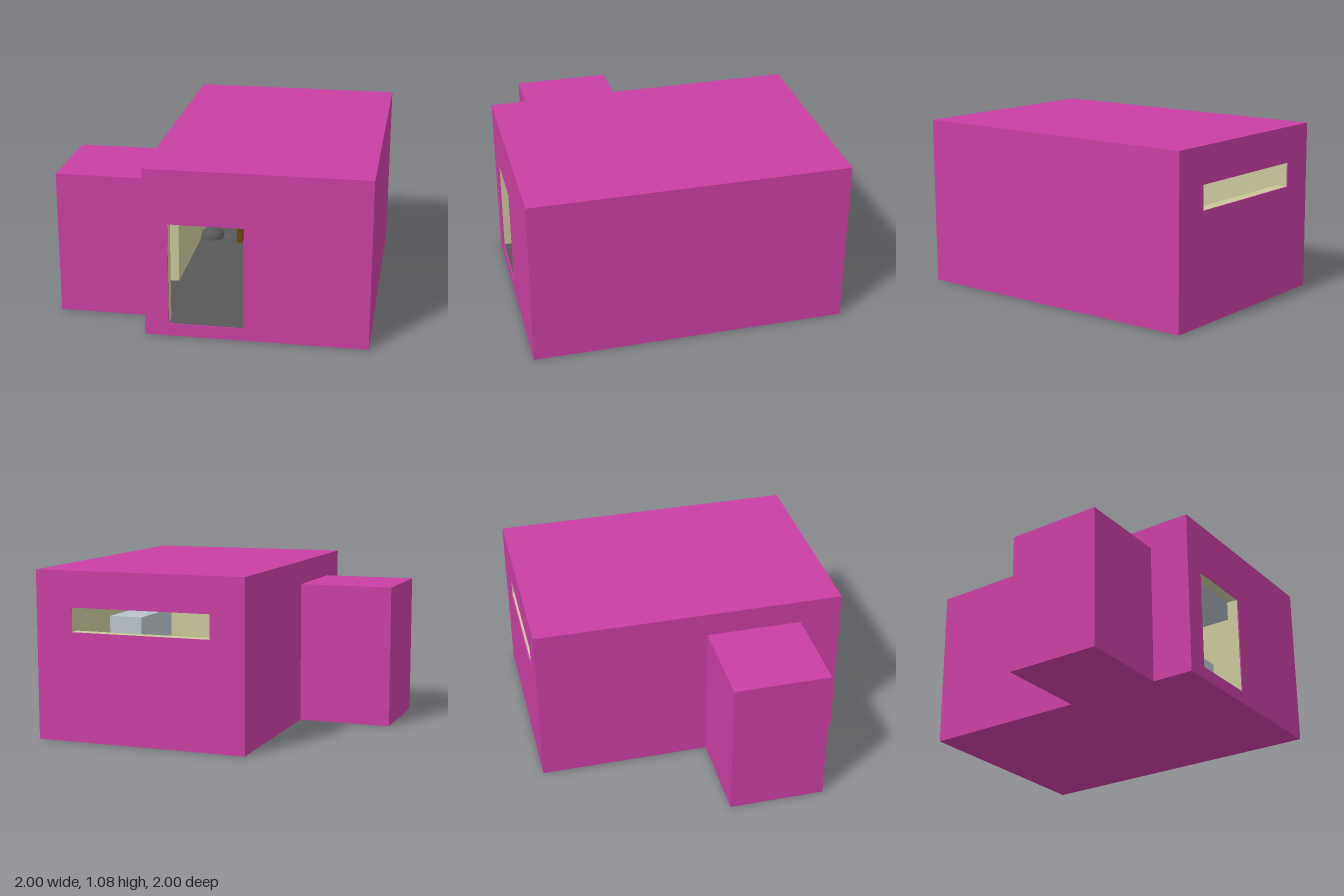
import * as THREE from 'three';

const mat = (name, color, side = THREE.FrontSide) => {
  const m = new THREE.MeshStandardMaterial({ color, side });
  m.name = name;
  return m;
};

export function createModel() {
  const model = new THREE.Group();
  model.name = 'house';
  const magenta = mat('magenta', 0xc93fa2);
  const beige = mat('beige', 0xc9c79a);
  const grey = mat('floor grey', 0x585858);
  const blue = mat('pale blue grey', 0xb8c3c8);
  const brown = mat('wood brown', 0x70450e);
  const SKIN = 0.008, WALL = 0.08;

  const add = (name, geo, material, x = 0, y = 0, z = 0) => {
    const mesh = new THREE.Mesh(geo, material);
    mesh.name = name;
    mesh.position.set(x, y, z);
    model.add(mesh);
    return mesh;
  };

  // box given by its lower and upper corners
  const block = (name, m, x0, x1, y0, y1, z0, z1) =>
    add(name, new THREE.BoxGeometry(x1 - x0, y1 - y0, z1 - z0), m,
      (x0 + x1) / 2, (y0 + y1) / 2, (z0 + z1) / 2);

  // upright plate whose outer face passes through (x, z); hole = [u0, u1, y0, y1]
  function plate(name, m, width, y0, y1, hole, inset, depth, x, z, turn) {
    const w = width / 2;
    const shape = new THREE.Shape();
    shape.moveTo(-w, y0).lineTo(w, y0).lineTo(w, y1).lineTo(-w, y1).closePath();
    if (hole) {
      const [a, b, c, d] = hole;
      const path = new THREE.Path();
      path.moveTo(a, c).lineTo(a, d).lineTo(b, d).lineTo(b, c).closePath();
      shape.holes.push(path);
    }
    const geo = new THREE.ExtrudeGeometry(shape, { depth, bevelEnabled: false });
    geo.translate(0, 0, -inset - depth);
    add(name, geo, m, x, 0, z).rotation.y = turn;
  }

  // painted outer skin with a thick inner lining behind it
  function wall(name, lining, width, height, hole, x, z, turn) {
    plate(name + 'Skin', magenta, width, 0, height, hole, 0, SKIN, x, z, turn);
    plate(name + 'Lining', lining, width - 2 * SKIN, SKIN, height - SKIN, hole,
      SKIN, WALL - SKIN, x, z, turn);
  }

  // floor and ceiling slabs, painted on the outside
  function slabs(name, x0, x1, z0, z1, height) {
    const s = SKIN;
    block(name + 'Base', magenta, x0, x1, 0, s, z0, z1);
    block(name + 'Floor', grey, x0 + s, x1 - s, s, 0.081, z0 + s, z1 - s);
    block(name + 'Ceiling', blue, x0 + s, x1 - s, height - WALL, height - s, z0 + s, z1 - s);
    block(name + 'Roof', magenta, x0, x1, height - s, height, z0, z1);
  }

  // main room: doorway in front, long window behind, side opening to the annex
  const L = -0.385, H = 1.08, mid = (1 + L) / 2, W = 1 - L;
  const opening = [0.34, 0.62, 0.08, 0.72];
  slabs('room', L, 1, -1, 1, H);
  wall('frontWall', beige, W, H, [-0.235 - mid, 0.23 - mid, 0.08, 0.735], mid, 1, 0);
  wall('backWall', beige, W, H, [mid - 0.763, mid + 0.16, 0.695, 0.85], mid, -1, Math.PI);
  wall('leftSideWall', beige, 2, H, null, 1, 0, Math.PI / 2);
  wall('rightSideWall', beige, 2, H, opening, L, 0, -Math.PI / 2);

  // annex
  const A = 0.925, az0 = 0.11, az1 = 0.73, aw = L + 1, ax = (L - 1) / 2, az = (az0 + az1) / 2;
  slabs('annex', -1, L + SKIN, az0, az1, A);
  wall('annexFront', blue, aw, A, null, ax, az1, 0);
  wall('annexBack', blue, aw, A, null, ax, az0, Math.PI);
  wall('annexSide', blue, az1 - az0, A, null, -1, az, -Math.PI / 2);
  plate('annexInnerWall', blue, az1 - az0 - 0.04, 0.02, A - 0.02,
    [opening[0] - az, opening[1] - az, 0.08, 0.72], 0.001, SKIN, L - 0.01, az, -Math.PI / 2);

  // tall cabinet against the side wall
  block('cabinet', blue, 0.683, 0.92, 0.08, 0.68, -0.12, 0.4);

  // counter along the back wall and the low table in front of it
  block('counter', brown, -0.305, 0.92, 0.31, 0.345, -0.92, -0.64);
  block('tableTop', brown, -0.035, 0.19, 0.195, 0.23, -0.62, -0.4);
  for (const x of [-0.035, 0.155]) block('tableLeg', brown, x, x + 0.035, 0.08, 0.195, -0.62, -0.4);

  // soft items on and above the counter, cut as silhouettes
  function cutout(name, m, points, z, depth = 0.06) {
    const shape = new THREE.Shape(points.map(([x, y]) => new THREE.Vector2(x, y)));
    add(name, new THREE.ExtrudeGeometry(shape, { depth, bevelEnabled: false }), m, 0, 0, z);
  }
  cutout('paleBush', blue, [[-0.08, 0.345], [0.02, 0.345], [0.07, 0.42], [0.07, 0.47], [0.03, 0.48],
    [0, 0.51], [-0.03, 0.48], [-0.06, 0.51], [-0.09, 0.48], [-0.13, 0.5], [-0.155, 0.45], [-0.14, 0.39]], -0.86);
  cutout('woodPile', brown, [[0, 0.345], [0.15, 0.345], [0.15, 0.42], [0.12, 0.42], [0.1, 0.46],
    [0.08, 0.42], [0.04, 0.42], [0.04, 0.385], [0, 0.38]], -0.78);
  cutout('pinkCushion', magenta, [[0.07, 0.47], [0.1, 0.46], [0.12, 0.42], [0.18, 0.42], [0.2, 0.46],
    [0.26, 0.46], [0.26, 0.5], [0.2, 0.5], [0.18, 0.54], [0.13, 0.54], [0.11, 0.5], [0.07, 0.49]], -0.7);

  // wooden cross-shaped wall ornament
  const cross = [];
  for (let i = 0; i < 4; i++) {
    const c = Math.cos(i * Math.PI / 2), s = Math.sin(i * Math.PI / 2);
    for (const [u, v] of [[0.03, -0.018], [0.055, -0.018], [0.055, 0.018], [0.03, 0.018]])
      cross.push([-0.178 + u * c - v * s, 0.525 + u * s + v * c]);
  }
  cutout('wallOrnament', brown, cross, -0.92, 0.02);

  // grey heaps on the floor and a pale one inside the annex opening
  function heap(name, m, x, z, rx, ry, rz) {
    const geo = new THREE.SphereGeometry(1, 10, 4, 0, Math.PI * 2, 0, Math.PI / 2);
    geo.scale(rx, ry, rz);
    add(name, geo, m, x, 0.08, z);
  }
  heap('greyHeap', grey, -0.23, -0.5, 0.09, 0.075, 0.09);
  heap('greyHeap', grey, -0.08, -0.5, 0.08, 0.035, 0.08);
  heap('greyHeap', grey, 0.55, 0.05, 0.07, 0.06, 0.07);
  heap('paleHeap', blue, -0.43, 0.38, 0.06, 0.06, 0.05);

  return model;
}
